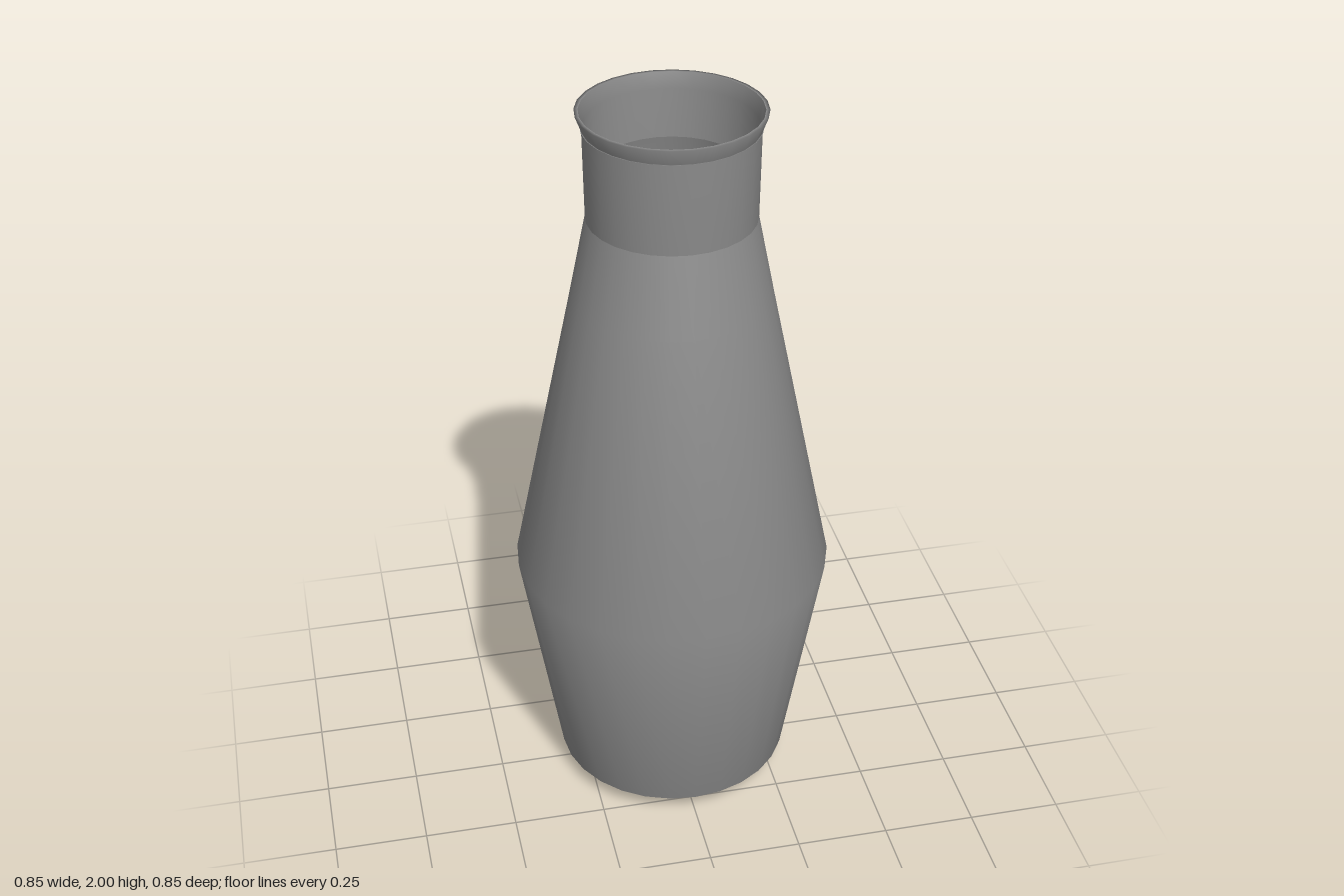
import * as THREE from 'three';

const SIDES = 28;

export function createModel() {
  const group = new THREE.Group();
  const grey = new THREE.MeshStandardMaterial({ color: 0x8c8c8c, side: THREE.DoubleSide });
  grey.name = 'grey';

  // Turns a profile of [radius, height] points around the y axis
  const turn = (name, profile) => {
    const points = profile.map(([r, y]) => new THREE.Vector2(r, y));
    const mesh = new THREE.Mesh(new THREE.LatheGeometry(points, SIDES), grey);
    mesh.name = name;
    group.add(mesh);
  };

  // Base, belly and tapering shoulder, which ends inside the neck
  turn('body', [[0, 0], [0.24, 0], [0.318, 0.06], [0.425, 0.7], [0.26, 1.5], [0.218, 1.71], [0.188, 1.84]]);

  // Collar with a small underside at both ends
  turn('neck', [[0.205, 1.71], [0.217, 1.71], [0.221, 1.958], [0.225, 1.958]]);

  // Flared lip with a narrow flat rim
  turn('lip', [[0.222, 1.958], [0.238, 2], [0.228, 2]]);

  // Inner face of the lip and neck
  turn('neckLining', [[0.228, 2], [0.218, 1.958], [0.214, 1.715]]);

  return group;
}
